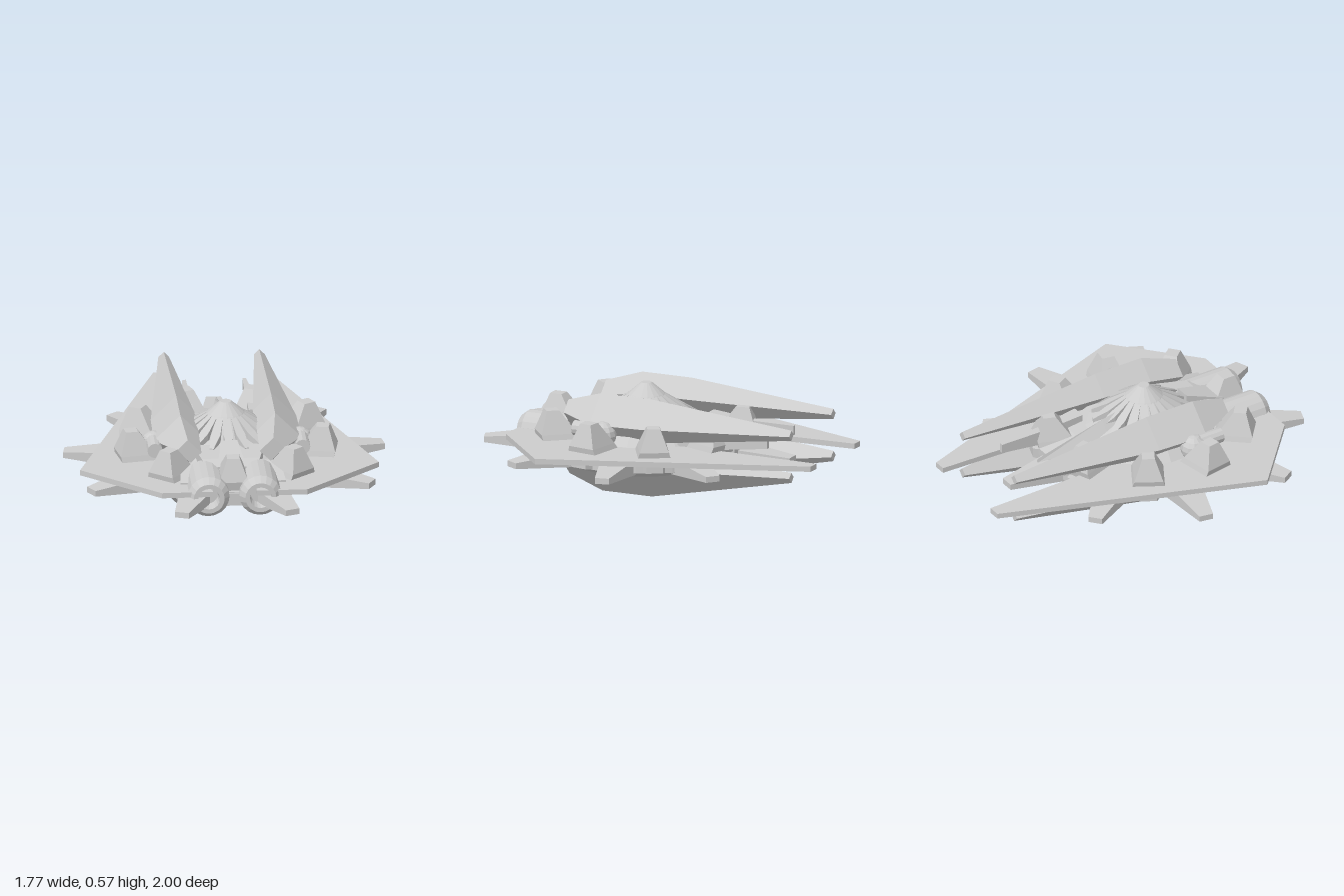
import * as THREE from 'three';

const mat = new THREE.MeshStandardMaterial({ color: 0xcccccc, flatShading: true, side: THREE.DoubleSide });
const CZ = 0.15; // saucer centre along z

// Closed solid through matching convex cross-sections, turned outward by its signed volume
function loft(sections) {
  const tris = [], n = sections[0].length, last = sections.length - 1;
  for (let s = 0; s < last; s++) {
    for (let i = 0; i < n; i++) {
      const j = (i + 1) % n, a = sections[s], b = sections[s + 1];
      tris.push([a[i], a[j], b[j]], [a[i], b[j], b[i]]);
    }
  }
  for (let i = 1; i < n - 1; i++) {
    tris.push([sections[0][0], sections[0][i + 1], sections[0][i]]);
    tris.push([sections[last][0], sections[last][i], sections[last][i + 1]]);
  }
  const v = (p) => new THREE.Vector3(...p);
  const volume = tris.reduce((sum, [a, b, c]) => sum + v(a).dot(v(b).cross(v(c))), 0);
  const flat = tris.flatMap(([a, b, c]) => (volume < 0 ? [a, c, b] : [a, b, c])).flat();
  const geo = new THREE.BufferGeometry();
  geo.setAttribute('position', new THREE.Float32BufferAttribute(flat, 3));
  geo.computeVertexNormals();
  return geo;
}

// Rectangle at height y: x half-width w, from radius r0 to r1
const slab = (y, w, r0, r1) => [[-w, y, r0], [w, y, r0], [w, y, r1], [-w, y, r1]];
// Upright rectangle facing z
const gate = (z, x0, x1, y0, y1) => [[x0, y0, z], [x1, y0, z], [x1, y1, z], [x0, y1, z]];

export function createModel() {
  const model = new THREE.Group();
  const add = (name, geo, x = 0, y = 0, z = 0, parent = model) => {
    const mesh = new THREE.Mesh(geo, mat);
    mesh.name = name;
    mesh.position.set(x, y, z);
    parent.add(mesh);
    return mesh;
  };
  const lathe = (pts, sides) => new THREE.LatheGeometry(pts.map((p) => new THREE.Vector2(...p)), sides);

  // Saucer hull
  add('saucerHull', lathe([[0, 0.13], [0.34, 0.13], [0.48, 0.165], [0.59, 0.21], [0.59, 0.26], [0.52, 0.28], [0, 0.28]], 36), 0, 0, CZ);

  // Nine rim spikes, with pyramids and rim blocks between them
  for (let i = 0; i < 9; i++) {
    const a = Math.PI + (i * Math.PI * 2) / 9;
    const spike = add('rimSpike', loft([
      gate(0.5, -0.105, 0.105, 0.19, 0.28),
      gate(0.62, -0.085, 0.085, 0.2, 0.275),
      gate(0.89, -0.04, 0.04, 0.22, 0.253),
    ]), 0, 0, CZ);
    spike.rotation.y = a;

    const between = a + Math.PI / 9;
    const pyramid = add('deckPyramid', loft([slab(0.28, 0.095, 0.38, 0.6), slab(0.33, 0.08, 0.41, 0.61), slab(0.455, 0.035, 0.5, 0.57)]), 0, 0, CZ);
    pyramid.rotation.y = between;
    const block = add('rimBlock', loft([gate(0.53, -0.08, 0.08, 0.2, 0.28), gate(0.63, -0.045, 0.045, 0.22, 0.275)]), 0, 0, CZ);
    block.rotation.y = between;
  }

  // Deck plate with two long rear prongs
  const half = [[0.12, 0.62], [0.12, 0.81], [0.4, 0.81], [0.82, 0.43], [0.31, -1], [0.24, -1], [0.22, -0.3], [0.1, -0.24]];
  const outline = [...half, ...half.map(([x, z]) => [-x, z]).reverse()];
  const deck = new THREE.ExtrudeGeometry(
    new THREE.Shape(outline.map(([x, z]) => new THREE.Vector2(x, -z))), { depth: 0.03, bevelEnabled: false });
  deck.rotateX(-Math.PI / 2);
  add('deckPlate', deck, 0, 0.27, 0);

  // Central dome with radial ribs
  add('domeBase', lathe([[0.4, 0.29], [0.33, 0.36], [0.2, 0.41], [0, 0.42]], 18), 0, 0, CZ);
  add('domeCone', lathe([[0.2, 0.4], [0.15, 0.465], [0.1, 0.515], [0.03, 0.575], [0, 0.575]], 18), 0, 0, CZ);
  for (let i = 0; i < 18; i++) {
    const rib = add('domeRib', loft([
      gate(0.08, -0.012, 0.012, 0.4, 0.525),
      gate(0.2, -0.026, 0.026, 0.36, 0.45),
      gate(0.285, -0.012, 0.012, 0.34, 0.4),
    ]), 0, 0, CZ);
    rib.rotation.y = (i * Math.PI * 2) / 18;
  }

  // Long tapering spine and the rear housing beneath it
  const ridge = (z, w, y0, y1) => [[-w, y0, z], [w, y0, z], [0, y1, z]];
  add('rearSpine', loft([ridge(0.05, 0.08, 0.36, 0.48), ridge(-0.12, 0.075, 0.33, 0.44), ridge(-0.54, 0.006, 0.31, 0.33)]));
  add('rearHousing', loft([gate(0, -0.26, 0.26, 0.25, 0.38), gate(-0.25, -0.2, 0.2, 0.25, 0.35), gate(-0.45, -0.13, 0.13, 0.26, 0.3)]));

  // Front housing, sloped nose and centre block
  add('frontHousing', loft([gate(0.36, -0.2, 0.2, 0.2, 0.4), gate(0.53, -0.16, 0.16, 0.2, 0.385), gate(0.7, -0.12, 0.12, 0.2, 0.33)]));
  add('frontRidge', loft([gate(0.4, -0.045, 0.045, 0.3, 0.44), gate(0.62, -0.08, 0.08, 0.3, 0.37)]));
  add('noseBlock', new THREE.BoxGeometry(0.11, 0.08, 0.24), 0, 0.24, 0.65);

  for (const s of [-1, 1]) {
    const side = new THREE.Group();
    side.name = s > 0 ? 'leftSide' : 'rightSide';
    model.add(side);
    const put = (name, geo, x, y, z) => add(name, geo, x, y, z, side);

    // Fins: cross-section from the tip edge (x, y), tip thickness t, running depth d outward
    const fin = (stations, dir) => loft(stations.map(([z, x, y, t, d]) => [
      [s * x, y, z],
      [s * (x - t), y - dir * t, z],
      [s * (x - t + d), y - dir * (t + d), z],
      [s * (x + d), y - dir * d, z],
    ]));
    put('upperFin', fin([
      [0.51, 0.235, 0.49, 0.075, 0.06],
      [0.3, 0.26, 0.555, 0.1, 0.145],
      [0, 0.26, 0.555, 0.1, 0.14],
      [-0.86, 0.262, 0.476, 0.028, 0.03],
    ], 1));
    put('lowerFin', fin([
      [0.51, 0.22, 0.07, 0.075, 0.1],
      [0.3, 0.24, 0, 0.1, 0.2],
      [0, 0.24, 0, 0.1, 0.2],
      [-0.86, 0.262, 0.18, 0.028, 0.03],
    ], -1));

    // Engine: hollow, chamfered barrel with a recessed core
    const barrel = lathe([[0, -0.15], [0.115, -0.15], [0.115, 0.11], [0.085, 0.15], [0.06, 0.15], [0.052, 0.08], [0, 0.08]], 20);
    barrel.rotateX(Math.PI / 2);
    put('engineBarrel', barrel, s * 0.142, 0.265, 0.68);
    put('engineBracket', loft([
      gate(0.5, s * 0.12, s * 0.27, 0.2, 0.36),
      gate(0.69, s * 0.14, s * 0.29, 0.2, 0.31),
    ]), 0, 0, 0);

    // Side cannon on a rounded mount
    const cannon = new THREE.CylinderGeometry(0.042, 0.042, 0.16, 12);
    cannon.rotateX(Math.PI / 2);
    put('sideCannon', cannon, s * 0.405, 0.385, 0.31);
    put('cannonMount', new THREE.SphereGeometry(0.075, 12, 8), s * 0.4, 0.36, 0.22);

    // Thin rear blade beside the spine
    put('rearBlade', loft([
      gate(-0.15, s * 0.15, s * 0.23, 0.28, 0.4),
      gate(-0.4, s * 0.15, s * 0.2, 0.3, 0.385),
      gate(-0.67, s * 0.155, s * 0.175, 0.33, 0.383),
    ]), 0, 0, 0);
  }
  return model;
}
